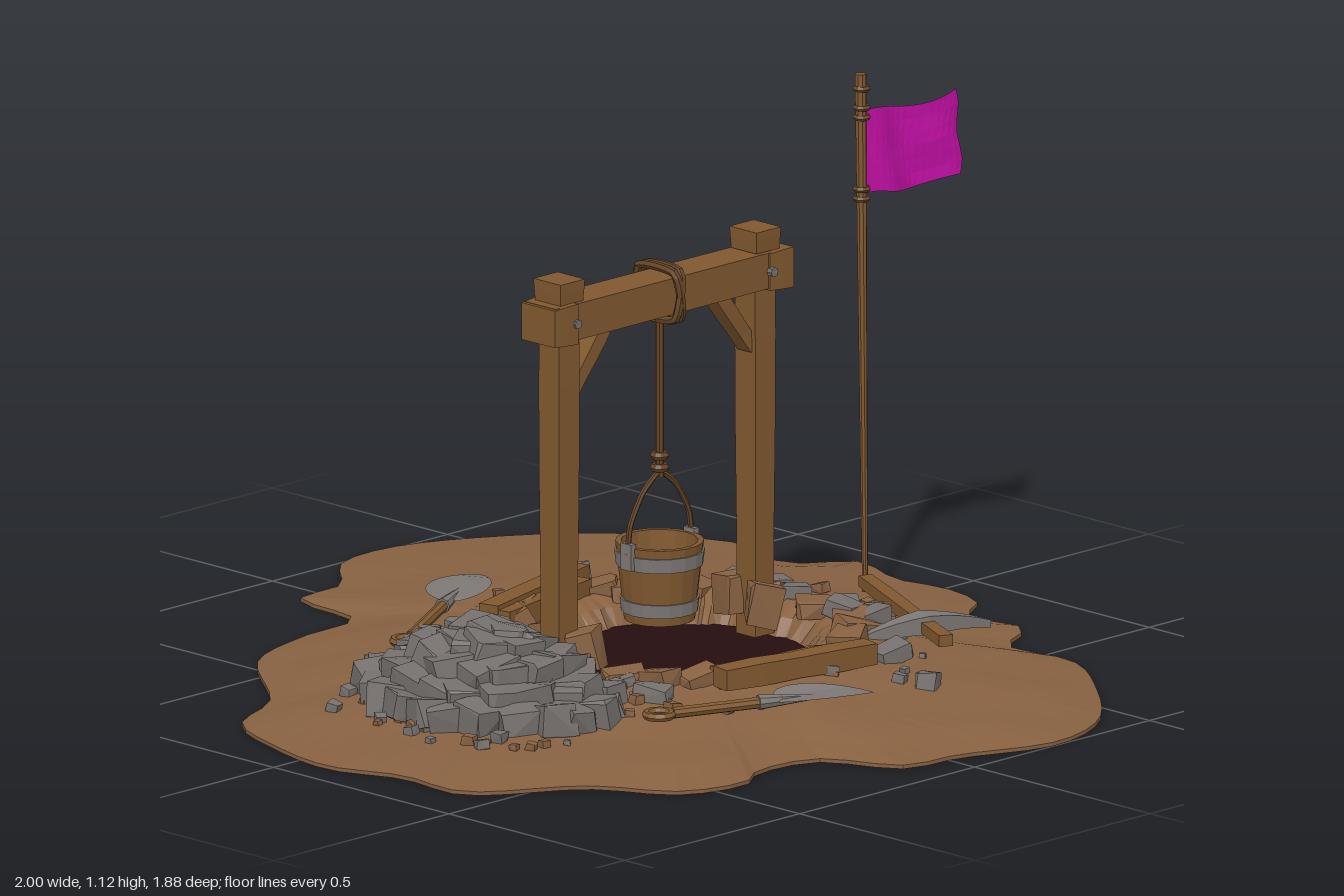
import * as THREE from 'three';
import { mergeGeometries } from 'three/addons/utils/BufferGeometryUtils.js';
import { ConvexGeometry } from 'three/addons/geometries/ConvexGeometry.js';

const V = (x, y, z) => new THREE.Vector3(x, y, z);
const mat = (name, color, opts = {}) => {
  const m = new THREE.MeshStandardMaterial({ color, flatShading: true, ...opts });
  m.name = name;
  return m;
};

export function createModel() {
  const root = new THREE.Group();
  const earth = mat('earth', 0x876141), wood = mat('wood', 0x80582f), stone = mat('stone', 0x75706d);
  const pitDark = mat('pitDark', 0x260d0f), ropeMat = mat('rope', 0x654526);
  const cloth = mat('cloth', 0xc410a6, { side: THREE.DoubleSide });
  const steel = mat('steel', 0x7d7875, { side: THREE.DoubleSide });

  let seed = 7;
  const rand = (a = 0, b = 1) => {
    seed = (seed * 16807) % 2147483647;
    return a + (b - a) * (seed / 2147483647);
  };
  const add = (name, geo, material, parent = root) => {
    const m = new THREE.Mesh(geo, material);
    m.name = name;
    parent.add(m);
    return m;
  };
  // Places a geometry that runs along z between two points
  const span = (name, geo, material, a, b, parent = root) => {
    const m = add(name, geo, material, parent);
    const p = a.clone().add(b).multiplyScalar(0.5);
    m.position.copy(p);
    m.quaternion.setFromRotationMatrix(new THREE.Matrix4().lookAt(b, a, V(0, 1, 0)));
    return m;
  };
  // Hewn beam, slightly uneven along its length
  const beam = (name, a, b, w, h, parent = root) => {
    const g = new THREE.BoxGeometry(w, h, a.distanceTo(b), 1, 1, 4), p = g.attributes.position;
    for (let i = 0; i < p.count; i++) {
      const k = 1 + 0.05 * Math.sin(p.getZ(i) * 37 + a.x * 9);
      p.setXY(i, p.getX(i) * k, p.getY(i) * k);
    }
    return span(name, g, wood, a, b, parent);
  };
  const rod = (name, a, b, r0, r1, material, parent = root, sides = 8) =>
    span(name, new THREE.CylinderGeometry(r1, r0, a.distanceTo(b), sides).rotateX(Math.PI / 2), material, a, b, parent);
  // Rough block made from jittered box corners
  const rock = (x, y, z, sx, sy, sz) => {
    const pts = [];
    for (const i of [-1, 1]) for (const j of [-1, 1]) for (const k of [-1, 1])
      for (let n = 0; n < 2; n++)
        pts.push(V(i * sx * rand(0.32, 0.52), j * sy * rand(0.32, 0.52), k * sz * rand(0.32, 0.52)));
    return new ConvexGeometry(pts).rotateZ(rand(-0.3, 0.3)).rotateY(rand(0, 6.28)).translate(x, y, z);
  };

  // Ground mound: rings from the pit wall, over the rim, out to a ragged edge
  const outline = [
    -.25, -.92, -.10, -.88, .02, -.90, .14, -.87, .20, -.78, .34, -.80, .42, -.68, .59, -.69, .78, -.57,
    .95, -.40, 1, -.23, .93, -.02, .91, .11, .75, .20, .73, .35, .77, .42, .73, .57, .57, .67,
    .42, .88, .25, .88, .09, .935, -.10, .90, -.26, .83, -.34, .67, -.58, .46, -.64, .27, -.66, .11,
    -.85, .07, -.86, -.05, -.98, -.18, -.99, -.34, -.88, -.57, -.74, -.73, -.50, -.85, -.42, -.81, -.33, -.82];
  const ctrl = [];
  for (let i = 0; i < outline.length; i += 2) ctrl.push(V(outline[i], 0, outline[i + 1]));
  const N = 108, cx = 0.05, cz = -0.1;
  const edge = new THREE.CatmullRomCurve3(ctrl, true).getSpacedPoints(N).slice(0, N);
  const ring = (r, y, jitter) => edge.map((p) => {
    const a = Math.atan2(p.z - cz, p.x - cx), q = r + 0.012 * jitter * Math.sin(a * 9) + rand(-1, 1) * 0.008 * jitter;
    return V(cx + q * Math.cos(a), y + rand(-1, 1) * 0.004 * jitter, cz + q * Math.sin(a));
  });
  const rim = ring(0.345, 0.078, 1);
  const rows = [ring(0.262, 0.008, 1), ring(0.3, 0.055, 1), rim];
  for (const t of [0.15, 0.35, 0.55, 0.78]) rows.push(rim.map((p, i) => {
    const q = p.clone().lerp(edge[i], t);
    q.y = 0.01 + 0.066 * (1 - t) + 0.005 * Math.sin(q.x * 13 + q.z * 5) * Math.sin(q.z * 11);
    return q;
  }));
  rows.push(edge.map((p) => V(p.x, 0.008, p.z)), edge, edge.map(() => V(cx, 0, cz)));
  const verts = rows.flat().flatMap((p) => [p.x, p.y, p.z]), index = [];
  for (let r = 0; r < rows.length - 1; r++) for (let j = 0; j < N; j++) {
    const a = r * N + j, b = r * N + (j + 1) % N;
    index.push(a, b, a + N, b, b + N, a + N);
  }
  const gg = new THREE.BufferGeometry();
  gg.setAttribute('position', new THREE.Float32BufferAttribute(verts, 3));
  gg.setIndex(index);
  gg.computeVertexNormals();
  const ground = add('ground', gg, earth);
  add('pitFloor', new THREE.CircleGeometry(0.275, 40).rotateX(-Math.PI / 2), pitDark).position.set(cx, 0.022, cz);

  const ray = new THREE.Raycaster();
  const groundY = (x, z) => {
    ray.set(V(x, 1, z), V(0, -1, 0));
    const hit = ray.intersectObject(ground)[0];
    return hit ? hit.point.y : 0;
  };

  // Clods around the pit rim and at the feet of the posts
  const clods = [];
  for (let i = 0; i < 22; i++) {
    const a = i / 22 * Math.PI * 2 + rand(-0.1, 0.1), r = rand(0.335, 0.37);
    clods.push(rock(cx + r * Math.cos(a), 0.075, cz + r * Math.sin(a), 0.1, rand(0.035, 0.06), 0.07));
  }
  for (const [x, z] of [[0.09, 0.2], [-0.01, 0.19], [0.1, -0.3], [0, -0.31]])
    clods.push(rock(x, 0.11, z, 0.07, 0.09, 0.07));
  add('rimClods', mergeGeometries(clods), earth);

  // Hoist frame
  const frame = new THREE.Group();
  frame.name = 'hoistFrame';
  root.add(frame);
  const px = 0.043;
  for (const [z, s] of [[0.227, -1], [-0.333, 1]]) {
    beam('post', V(px, 0.03, z), V(px, 0.87, z), 0.056, 0.056, frame);
    beam('postCap', V(px, 0.835, z), V(px, 0.88, z), 0.074, 0.066, frame);
    beam('brace', V(px, 0.635, z + s * 0.02), V(px, 0.77, z + s * 0.125), 0.04, 0.03, frame);
    rod('peg', V(px - 0.052, 0.795, z), V(px + 0.056, 0.795, z), 0.01, 0.01, stone, frame);
  }
  beam('crossBeam', V(px, 0.796, 0.28), V(px, 0.796, -0.385), 0.085, 0.074, frame);
  for (const z of [0.255, -0.36]) beam('beamEnd', V(px, 0.794, z + 0.032), V(px, 0.794, z - 0.032), 0.098, 0.08, frame);

  // Rope looped over the beam, with knots
  const bz = -0.06, tube = (pts, r, closed = false) =>
    new THREE.TubeGeometry(new THREE.CatmullRomCurve3(pts, closed, 'catmullrom', 0.3), 32, r, 6, closed);
  for (const o of [-0.008, 0.008]) add('ropeLoop', tube([V(px - 0.052, 0.845, bz + o), V(px + 0.052, 0.845, bz + o),
    V(px + 0.052, 0.75, bz - o), V(px - 0.052, 0.75, bz - o)], 0.009, true), ropeMat);
  rod('rope', V(px, 0.76, bz), V(px, 0.41, bz), 0.009, 0.009, ropeMat);
  for (const y of [0.43, 0.455, 0.745])
    add('knot', new THREE.TorusGeometry(0.011, 0.009, 6, 10).rotateX(Math.PI / 2), ropeMat).position.set(px, y, bz);

  // Bucket
  const bucket = new THREE.Group();
  bucket.name = 'bucket';
  bucket.position.set(px, 0.115, bz);
  root.add(bucket);
  const lathe = (pts) => new THREE.LatheGeometry(pts.map(([x, y]) => new THREE.Vector2(x, y)), 18);
  add('staves', lathe([[0, 0], [0.072, 0], [0.09, 0.163], [0.078, 0.163], [0.066, 0.02], [0, 0.02]]), wood, bucket);
  for (const [y, h] of [[0.018, 0.028], [0.115, 0.03]]) {
    const r = (v) => 0.076 + v * 0.11;
    add('hoop', lathe([[r(y) - 0.006, y], [r(y), y], [r(y + h), y + h], [r(y + h) - 0.006, y + h]]), steel, bucket);
  }
  for (const s of [-1, 1]) {
    const lug = add('handleLug', new THREE.BoxGeometry(0.03, 0.055, 0.014), steel, bucket);
    lug.position.set(0, 0.145, s * 0.09);
  }
  add('handle', tube([V(0, 0.15, 0.092), V(0, 0.21, 0.083), V(0, 0.27, 0.048), V(0, 0.305, 0),
    V(0, 0.27, -0.048), V(0, 0.21, -0.083), V(0, 0.15, -0.092)], 0.006), ropeMat, bucket);

  // Flag on its pole
  rod('flagPole', V(0, 0.02, -0.69), V(-0.01, 1.12, -0.687), 0.006, 0.012, wood);
  for (const y of [0.86, 0.88, 1.03, 1.05, 1.09])
    add('flagTie', new THREE.TorusGeometry(0.013, 0.006, 5, 10).rotateX(Math.PI / 2), ropeMat).position.set(-0.008, y, -0.688);
  const fg = new THREE.PlaneGeometry(1, 1, 16, 6), fp = fg.attributes.position;
  for (let i = 0; i < fp.count; i++) {
    const u = fp.getX(i) + 0.5, v = fp.getY(i) + 0.5;
    fp.setXYZ(i, -0.006 + 0.02 * u + 0.014 * Math.sin(u * 8 + v * 1.5) * Math.min(1, u * 3),
      0.862 + v * 0.175 + 0.008 * Math.sin(u * 7 + 1), -0.69 - 0.245 * u - 0.006 * Math.sin(v * 9) * u);
  }
  fg.computeVertexNormals();
  add('flag', fg, cloth);

  // Timbers beside the pit
  for (const [x0, z0, x1, z1, w, y] of [[-.355, -.23, -.265, .12, .045, .095], [-.30, -.19, -.235, .11, .035, .085],
    [.475, -.23, .405, .13, .05, .095], [.425, -.2, .37, .11, .035, .085]])
    beam('timber', V(x0, y, z0), V(x1, y, z1), w, 0.045);

  // Rock heap, large blocks stacked in shrinking layers
  const heap = [];
  for (const [n, r, y, s] of [[21, 1, 0.06, 0.085], [16, 0.76, 0.085, 0.095], [12, 0.52, 0.12, 0.1], [7, 0.28, 0.15, 0.1], [3, 0.1, 0.165, 0.085]])
    for (let i = 0; i < n; i++) {
      const a = (i + rand(-0.25, 0.25)) / n * Math.PI * 2, zz = Math.sin(a);
      const x = 0.06 + r * Math.cos(a) * (0.27 - 0.06 * zz), z = 0.465 - (1 - r) * 0.05 + r * zz * 0.175;
      heap.push(rock(x, y, z, s * rand(0.9, 1.25), s * rand(0.7, 0.95), s * rand(0.8, 1.1)));
    }
  add('rockHeap', mergeGeometries(heap), stone);

  // Loose stones behind the pit, and scattered rubble
  const loose = [[-.12, -.45], [-.06, -.49], [-.03, -.43], [.02, -.46], [-.08, -.42], [.16, -.48], [.21, -.5], [.25, -.46], [.19, -.44],
    [-.44, -.29], [.46, -.3], [.62, -.25], [-.3, .24], [.34, .25]]
    .map(([x, z]) => rock(x, groundY(x, z) + 0.01, z, rand(0.05, 0.085), 0.04, rand(0.04, 0.07)));
  const grit = [];
  for (let i = 0; i < 120; i++) {
    const front = i % 2, a = rand(0, 6.28), r = front ? rand(0.9, 1.35) : rand(0.38, 0.55);
    const x = front ? 0.06 + r * 0.28 * Math.cos(a) : cx + r * Math.cos(a);
    const z = front ? 0.46 + r * 0.21 * Math.sin(a) : cz + r * Math.sin(a);
    const s = rand(0.012, 0.032);
    (i % 3 ? grit : loose).push(rock(x, groundY(x, z) + s * 0.25, z, s, s * 0.8, s));
  }
  add('looseStones', mergeGeometries(loose), stone);
  add('rubble', mergeGeometries(grit), earth);

  // Shovels lying on the ground
  const blade = new THREE.Shape();
  blade.moveTo(-0.02, 0);
  blade.bezierCurveTo(-0.09, 0.01, -0.07, 0.14, 0, 0.21);
  blade.bezierCurveTo(0.07, 0.14, 0.09, 0.01, 0.02, 0);
  for (const [x0, z0, x1, z1] of [[-.295, .325, -.52, -.11], [.45, .35, .645, -.07]]) {
    const shovel = new THREE.Group(), a = V(x0, groundY(x0, z0) + 0.025, z0), b = V(x1, groundY(x1, z1) + 0.03, z1);
    shovel.name = 'shovel';
    shovel.position.copy(a);
    shovel.lookAt(b);
    root.add(shovel);
    const L = a.distanceTo(b), bg = new THREE.ShapeGeometry(blade, 10).rotateX(Math.PI / 2), p = bg.attributes.position;
    for (let i = 0; i < p.count; i++) p.setY(i, Math.abs(p.getX(i)) * 0.25);
    add('shovelBlade', bg, steel, shovel).position.z = L - 0.21;
    rod('shovelSocket', V(0, 0.004, L - 0.25), V(0, 0.004, L - 0.13), 0.016, 0.006, steel, shovel);
    rod('shovelHandle', V(0, 0, 0.03), V(0, 0.004, L - 0.2), 0.012, 0.012, wood, shovel);
    add('shovelGrip', new THREE.TorusGeometry(0.026, 0.009, 6, 12).rotateX(Math.PI / 2), wood, shovel);
  }

  // Pickaxe with a tapering, curved head
  beam('pickHandle', V(.06, .085, -.63), V(.50, .085, -.42), 0.03, 0.024);
  const head = new THREE.BoxGeometry(0.05, 0.04, 0.3, 1, 1, 8), hp = head.attributes.position;
  for (let i = 0; i < hp.count; i++) {
    const t = Math.abs(hp.getZ(i)) / 0.15;
    hp.setXY(i, hp.getX(i) * (1.05 - 0.9 * t), hp.getY(i) * (1 - 0.6 * t) - 0.02 * t * t);
  }
  span('pickHead', head, steel, V(.425, .088, -.62), V(.335, .088, -.335));
  return root;
}
